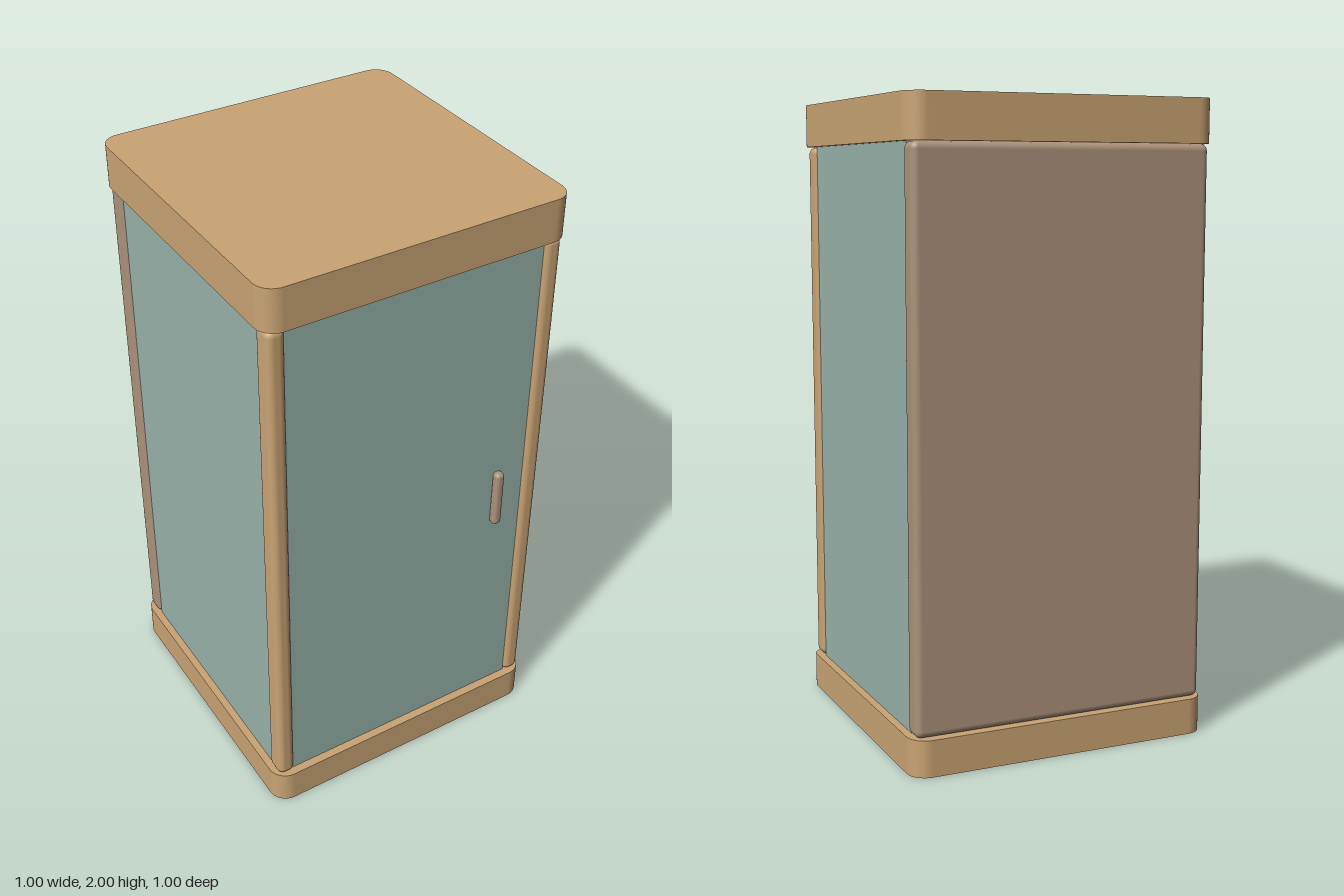
import * as THREE from 'three';
import { RoundedBoxGeometry } from 'three/addons/geometries/RoundedBoxGeometry.js';

const material = (name, color) => {
  const m = new THREE.MeshStandardMaterial({ color });
  m.name = name;
  return m;
};

export function createModel() {
  const group = new THREE.Group();
  group.name = 'showerCabin';
  const tan = material('tan frame', 0xcaa474);
  const glass = material('sea green glass', 0x99b3aa);
  const taupe = material('taupe panel', 0xac927c);

  const add = (name, geometry, mat, x = 0, y = 0, z = 0) => {
    const mesh = new THREE.Mesh(geometry, mat);
    mesh.name = name;
    mesh.position.set(x, y, z);
    group.add(mesh);
  };

  // Square slab with rounded vertical corners, standing on y = 0
  const slab = (half, r, height) => {
    const s = new THREE.Shape();
    const c = half - r;
    s.absarc(c, c, r, 0, Math.PI / 2);
    s.absarc(-c, c, r, Math.PI / 2, Math.PI);
    s.absarc(-c, -c, r, Math.PI, Math.PI * 1.5);
    s.absarc(c, -c, r, Math.PI * 1.5, Math.PI * 2);
    s.closePath();
    return new THREE.ExtrudeGeometry(s, { depth: height, bevelEnabled: false, curveSegments: 10 })
      .rotateX(-Math.PI / 2);
  };

  const bottom = 0.115, top = 1.863;
  const height = top - bottom, midY = (top + bottom) / 2;

  // Tray and roof
  add('baseTray', slab(0.5, 0.06, bottom), tan);
  add('roof', slab(0.5, 0.06, 2 - top), tan, 0, top);

  // Front posts and side panes
  for (const [side, s] of [['left', 1], ['right', -1]]) {
    add(side + 'FrontPost', new RoundedBoxGeometry(0.058, height, 0.073, 4, 0.022), tan, s * 0.456, midY, 0.449);
    add(side + 'GlassPane', new THREE.BoxGeometry(0.02, height, 0.83), glass, s * 0.465, midY, 0);
  }

  // Door and its handle
  add('glassDoor', new THREE.BoxGeometry(0.86, height, 0.02), glass, 0, midY, 0.462);
  add('doorHandle', new RoundedBoxGeometry(0.032, 0.205, 0.032, 4, 0.013), taupe, 0.326, 0.96, 0.484);

  // Solid back wall
  add('backWall', new RoundedBoxGeometry(0.97, height, 0.075, 4, 0.022), taupe, 0, midY, -0.4475);

  return group;
}
